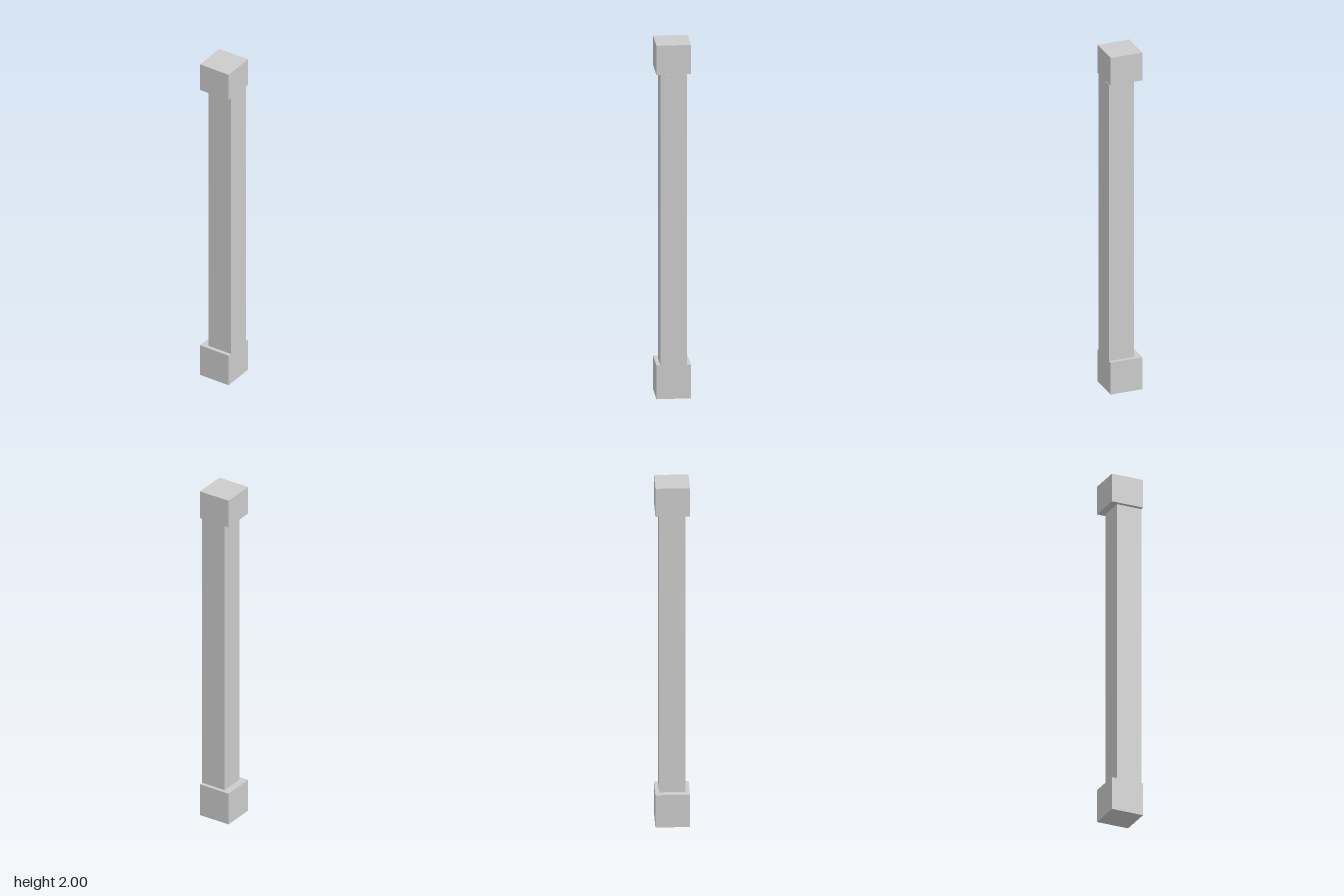
import * as THREE from 'three';

export function createModel() {
  const group = new THREE.Group();
  const material = new THREE.MeshStandardMaterial({ color: 0xcccccc, flatShading: true });

  // Box given by its extents
  function block(name, [x0, x1], [y0, y1], [z0, z1]) {
    const mesh = new THREE.Mesh(new THREE.BoxGeometry(x1 - x0, y1 - y0, z1 - z0), material);
    mesh.position.set((x0 + x1) / 2, (y0 + y1) / 2, (z0 + z1) / 2);
    mesh.name = name;
    group.add(mesh);
  }

  // Square end blocks
  const capX = [-0.094, 0.0925];
  const capZ = [-0.0935, 0.0935];
  block('base', capX, [0, 0.19], capZ);
  block('capital', capX, [1.835, 2], capZ);

  // Shaft, set to the left so its outer face is almost flush with the end blocks
  block('shaft', [-0.054, 0.094], [0.19, 1.835], [-0.072, 0.072]);

  return group;
}
